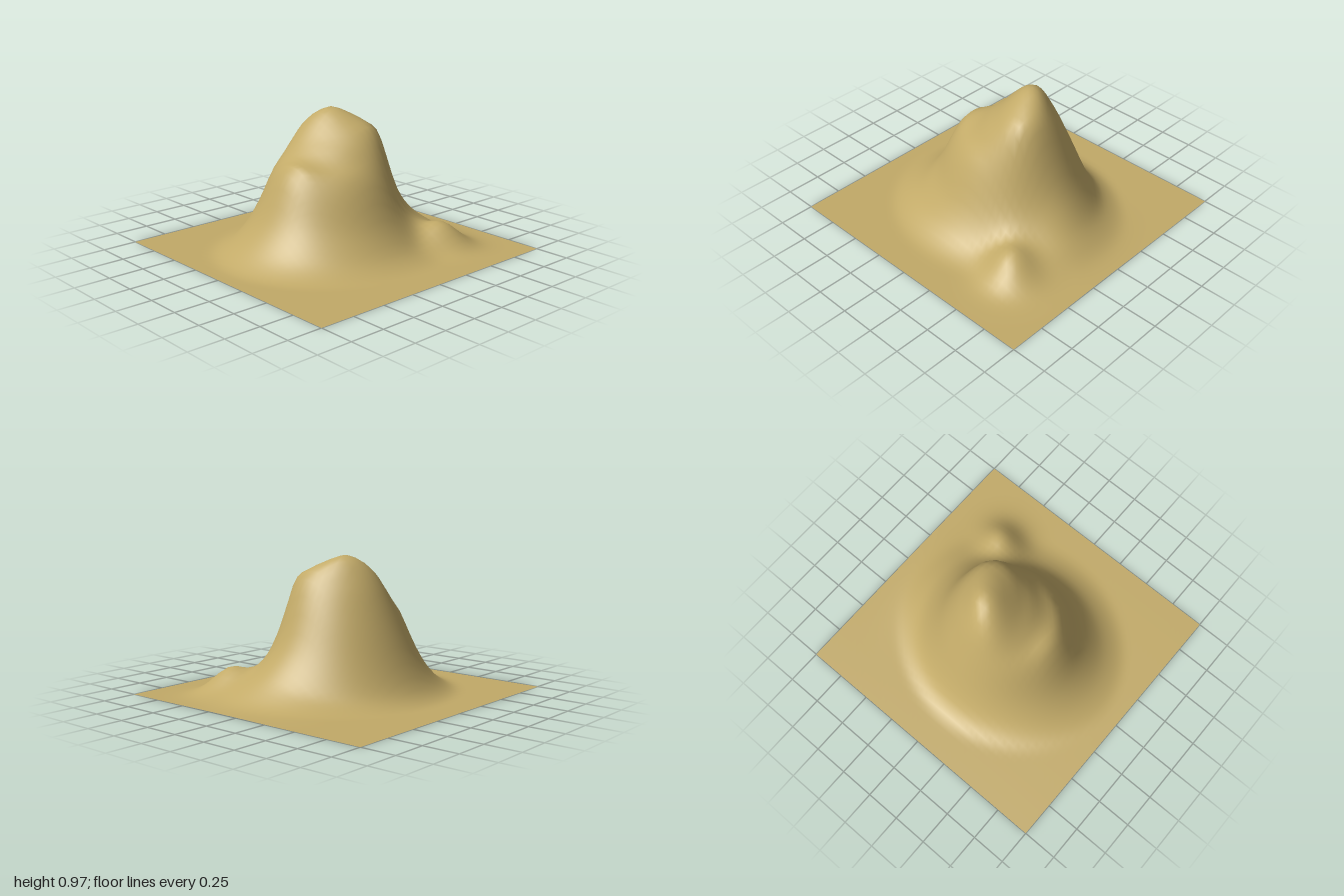
import * as THREE from 'three';

// Height contours: [height, x min, x max, z min, z max, diagonal skew]
const contours = [
  [0.0, -0.76, 0.77, -0.85, 0.87, 0],
  [0.025, -0.71, 0.69, -0.76, 0.81, 0],
  [0.08, -0.64, 0.60, -0.66, 0.72, 0],
  [0.27, -0.54, 0.46, -0.53, 0.54, 0],
  [0.45, -0.47, 0.39, -0.45, 0.45, 0],
  [0.57, -0.42, 0.33, -0.415, 0.385, -0.05],
  [0.73, -0.36, 0.235, -0.36, 0.20, -0.25],
  [0.83, -0.31, 0.175, -0.31, 0.11, -0.45],
  [0.90, -0.262, 0.05, -0.235, 0.045, -0.4],
  [0.945, -0.21, -0.04, -0.17, -0.01, -0.25],
  [0.98, -0.15, -0.11, -0.11, -0.07, 0],
];

// Signed position relative to a skewed elliptical contour: below 0 is inside
function outside([, x0, x1, z0, z1, skew], x, z) {
  const u = (2 * x - x0 - x1) / (x1 - x0);
  const v = (2 * z - z0 - z1) / (z1 - z0);
  return Math.sqrt((u * u - 2 * skew * u * v + v * v) / (1 - skew * skew)) - 1;
}

function coneHeight(x, z) {
  let before = outside(contours[0], x, z);
  if (before >= 0) return 0;
  for (let i = 1; i < contours.length; i++) {
    const after = outside(contours[i], x, z);
    if (after >= 0) {
      const t = before / (before - after);
      return THREE.MathUtils.lerp(contours[i - 1][0], contours[i][0], t);
    }
    before = after;
  }
  return 0.98;
}

// Average of nearby samples, to round off the steps between contours
function smoothCone(x, z) {
  let sum = 0;
  for (let i = -2; i <= 2; i++)
    for (let j = -2; j <= 2; j++) sum += coneHeight(x + i * 0.016, z + j * 0.016);
  return sum / 25;
}

// Rounded rise that fades to nothing
function bump(x, z, cx, cz, sx, sz, height) {
  const d = (((x - cx) / sx) ** 2 + ((z - cz) / sz) ** 2) / 2;
  return d > 6 ? 0 : height * (Math.exp(-d) - Math.exp(-6));
}

export function createModel() {
  const group = new THREE.Group();
  group.name = 'mountainTerrain';

  // Flat square sheet raised into the mountain
  const geometry = new THREE.PlaneGeometry(2, 2, 44, 44).rotateX(-Math.PI / 2);
  const p = geometry.attributes.position;
  for (let i = 0; i < p.count; i++) {
    const x = p.getX(i), z = p.getZ(i);
    const frontShoulder = bump(x, z, 0.03, 0.42, 0.16, 0.1, 0.07);
    const backFoot = bump(x, z, 0.15, -0.64, 0.26, 0.14, 0.085);
    const backSpur = bump(x, z, 0.54, -0.53, 0.11, 0.12, 0.15);
    p.setY(i, smoothCone(x, z) + frontShoulder + backFoot + backSpur);
  }
  geometry.computeVertexNormals();

  const material = new THREE.MeshStandardMaterial({ color: 0xc2aa68, side: THREE.DoubleSide });
  const mountain = new THREE.Mesh(geometry, material);
  mountain.name = 'mountain';
  group.add(mountain);
  return group;
}
